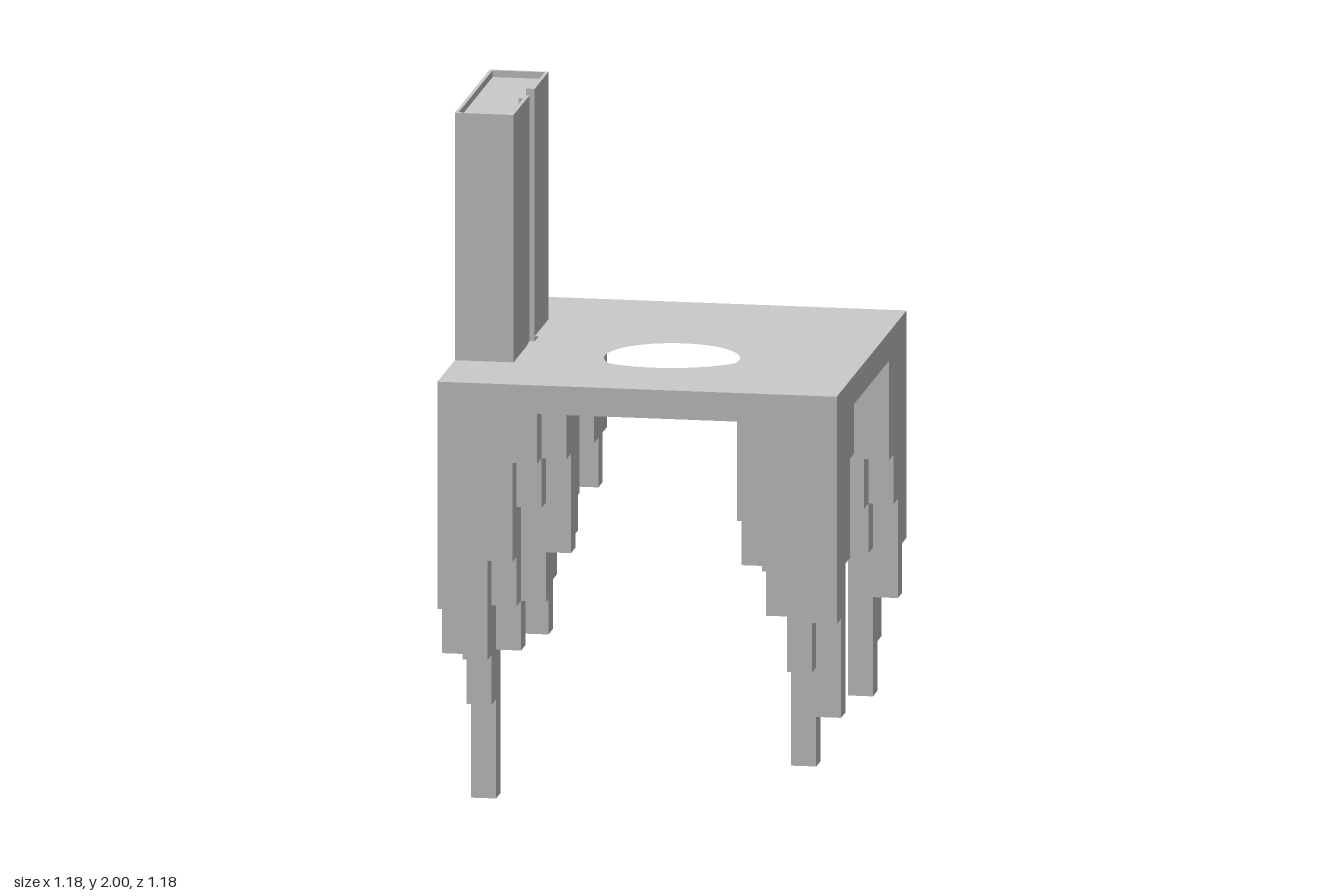
import * as THREE from 'three';
import { mergeGeometries } from 'three/addons/utils/BufferGeometryUtils.js';

const HALF = 0.588, CELL = HALF / 8, UNDER = 1.18, STEP = UNDER / 8, TOP = 1.265;
const material = new THREE.MeshStandardMaterial({ color: 0xcccccc, flatShading: true });

// Flat plan in (x, z), raised from y0 to y1
function prism(name, shape, y0, y1) {
  const geo = new THREE.ExtrudeGeometry(shape, { depth: y1 - y0, bevelEnabled: false, curveSegments: 48 });
  geo.rotateX(-Math.PI / 2).translate(0, y0, 0);
  const mesh = new THREE.Mesh(geo, material);
  mesh.name = name;
  return mesh;
}
const outline = pts => new THREE.Shape(pts.map(p => new THREE.Vector2(...p)));
// Completes a half outline with its mirror image in z
const mirrored = pts => outline([...pts, ...pts.map(([x, z]) => [x, -z]).reverse()]);

function plate(name, hole, y0, y1) {
  const shape = mirrored([[-HALF, HALF], [HALF, HALF]]);
  shape.holes.push(hole);
  return prism(name, shape, y0, y1);
}
const circle = r => new THREE.Path().absarc(0, 0, r, 0, Math.PI * 2, true);

// Stepped leg: each number is the bottom level of one square column,
// rows run inward in x and entries inward in z; 8 means no column.
function steppedLeg(name, levels, sx, sz) {
  const at = (i, j) => levels[i]?.[j] ?? 8;
  const parts = [];
  for (let i = 0; i < 5; i++) for (let j = 0; j < 5; j++) {
    const k = at(i, j);
    if (k >= 8) continue;
    const x = sx * (HALF - (i + 0.5) * CELL), z = sz * (HALF - (j + 0.5) * CELL);
    parts.push(new THREE.PlaneGeometry(CELL, CELL).rotateX(Math.PI / 2).translate(x, k * STEP, z));
    // Side walls only where the neighbouring column ends higher
    for (const [di, dj] of [[1, 0], [-1, 0], [0, 1], [0, -1]]) {
      const n = at(i + di, j + dj);
      if (n <= k) continue;
      const dx = -sx * di, dz = -sz * dj;
      parts.push(new THREE.PlaneGeometry(CELL, (n - k) * STEP)
        .rotateY(Math.atan2(dx, dz))
        .translate(x + dx * CELL / 2, (n + k) * STEP / 2, z + dz * CELL / 2));
    }
  }
  const mesh = new THREE.Mesh(mergeGeometries(parts), material);
  mesh.name = name;
  return mesh;
}

export function createModel() {
  const model = new THREE.Group();

  // Table top: through hole, round recess, and a channel leading to the tower
  const table = new THREE.Group();
  table.name = 'tableTop';
  const r = 0.295, w = 0.06, a = Math.PI - Math.asin(w / r);
  const keyhole = new THREE.Path();
  keyhole.moveTo(-0.43, -w);
  keyhole.lineTo(-0.43, w);
  keyhole.absarc(0, 0, r, a, -a, true);
  keyhole.closePath();
  table.add(
    plate('lowerPlate', circle(0.197), UNDER, 1.23),
    plate('recessPlate', circle(r), 1.23, 1.25),
    plate('channelPlate', keyhole, 1.25, TOP));
  model.add(table);

  // Tower block with a vertical groove and a thin raised rim on its top
  const tower = new THREE.Group();
  tower.name = 'tower';
  tower.add(
    prism('towerBody', mirrored([
      [-0.43, w], [-0.415, w], [-0.415, 0.295], [-HALF, 0.295]].reverse()), 1.25, 1.98),
    prism('towerRim', outline([
      [-0.44, w], [-0.415, w], [-0.415, 0.295], [-HALF, 0.295],
      [-HALF, -0.295], [-0.415, -0.295], [-0.415, -w], [-0.44, -w],
      [-0.44, -0.07], [-0.425, -0.07], [-0.425, -0.285], [-0.578, -0.285],
      [-0.578, 0.285], [-0.425, 0.285], [-0.425, 0.07], [-0.44, 0.07]]), 1.98, 2));
  model.add(tower);

  // Four ragged legs made of hanging square columns
  model.add(
    steppedLeg('frontLeftLeg',
      [[4, 2, 5, 7, 8], [3, 1, 4, 6, 7], [5, 4, 4, 5, 6], [6, 5, 5, 6, 8], [8, 8, 8, 8, 8]], 1, 1),
    steppedLeg('frontRightLeg',
      [[4, 3, 5, 6, 8], [3, 2, 0, 4, 6], [5, 4, 3, 4, 6], [7, 6, 4, 5, 7], [8, 7, 5, 6, 8]], -1, 1),
    steppedLeg('backLeftLeg',
      [[4, 3, 5, 6, 8], [2, 1, 4, 5, 8], [5, 4, 5, 6, 8], [7, 6, 5, 7, 8], [8, 8, 8, 8, 8]], 1, -1),
    steppedLeg('backRightLeg',
      [[4, 3, 5, 6, 8], [3, 2, 4, 5, 8], [5, 4, 5, 6, 8], [6, 5, 6, 7, 8], [8, 8, 8, 8, 8]], -1, -1));

  return model;
}
